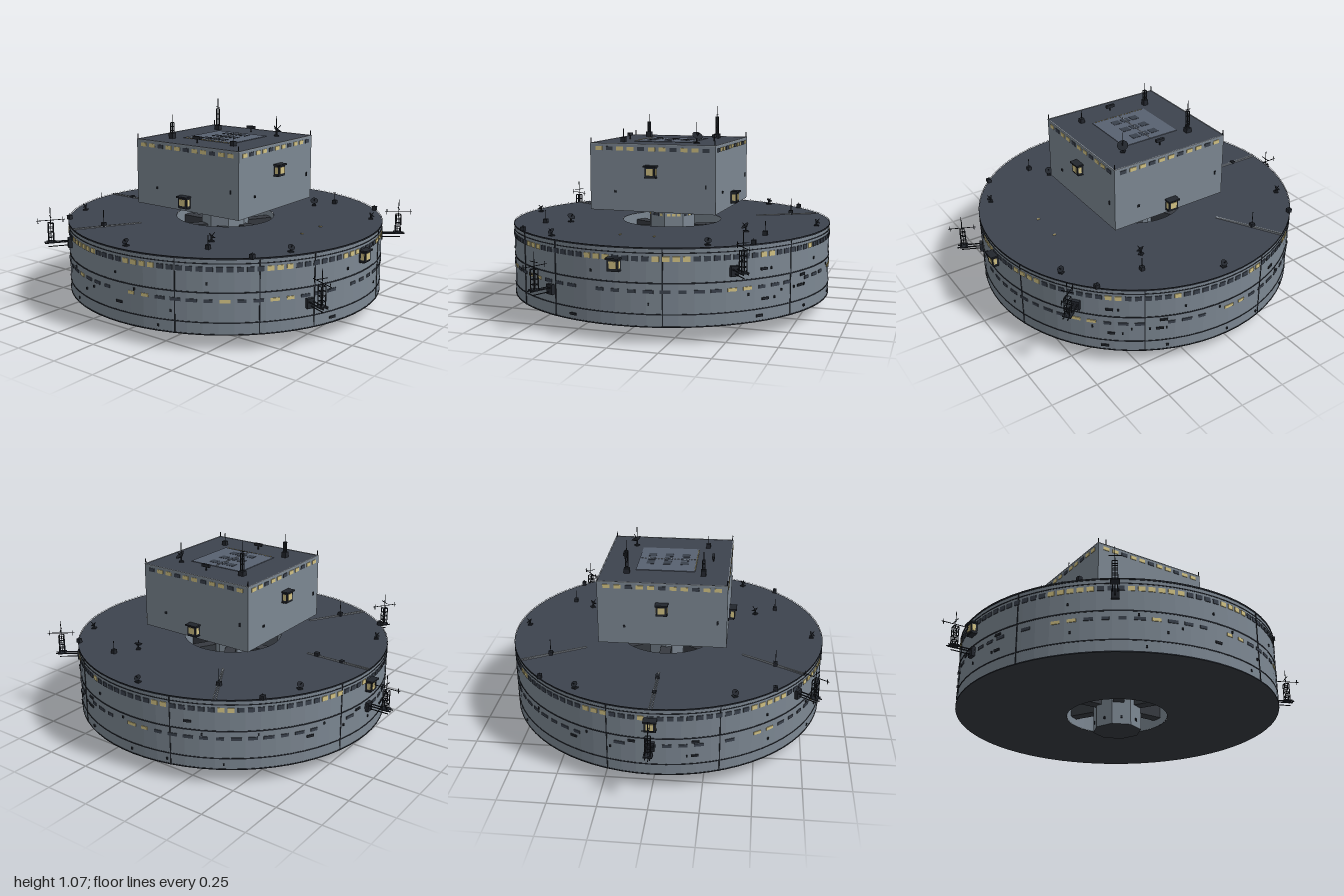
import * as THREE from 'three';
import { mergeGeometries } from 'three/addons/utils/BufferGeometryUtils.js';

const mat = (name, color, extra = {}) => {
  const m = new THREE.MeshStandardMaterial({ color, flatShading: true, ...extra });
  m.name = name;
  return m;
};

export function createModel() {
  const wall = mat('wallGrey', 0x7c8792);
  const roof = mat('roofSlate', 0x3d434e);
  const under = mat('undersideCharcoal', 0x363a40);
  const panel = mat('panelGrey', 0x586170);
  const dark = mat('fittingDark', 0x22262d);
  const glass = mat('darkGlass', 0x3a414c);
  const lit = mat('litWindow', 0xd2c284);
  const trim = mat('paleTrim', 0x98a0a8);

  const root = new THREE.Group();
  root.name = 'station';
  root.position.set(0.04, 0, -0.005);

  const R = 0.86, HOLE = 0.27, LOW = 0.08, TOP = 0.455, ROOF = 0.89, S = 0.34;
  let seed = 7;
  const rand = () => (seed = (seed * 16807) % 2147483647) / 2147483647;

  // Helpers: placed boxes, boxes around the axis, rods, merged meshes
  const box = (w, h, d, x, y, z) => new THREE.BoxGeometry(w, h, d).translate(x, y, z);
  const polar = (r, a, y, w, h, d) => box(d, h, w, r, y, 0).rotateY(-a);
  const rod = (r, h, x, y, z) => new THREE.CylinderGeometry(r, r, h, 5).translate(x, y + h / 2, z);
  const add = (name, material, geos, parent = root) => {
    const list = [].concat(geos);
    const mesh = new THREE.Mesh(list.length > 1 ? mergeGeometries(list) : list[0], material);
    mesh.name = name;
    parent.add(mesh);
    return mesh;
  };
  const lathe = (pts, n = 72) => new THREE.LatheGeometry(pts.map(p => new THREE.Vector2(...p)), n);
  const rad = THREE.MathUtils.degToRad;

  // Large ring hull with an open middle
  add('ringOuterWall', wall, lathe([[R, LOW], [R, TOP]]));
  add('ringRoof', roof, lathe([[R, TOP], [HOLE, TOP]]));
  add('ringUnderside', under, lathe([[HOLE, LOW], [R, LOW]]));
  add('ringInnerWall', wall, lathe([[HOLE, TOP], [HOLE, LOW]], 36));
  const band = (y, h, o) => lathe([[R, y - h / 2], [R + o, y - h / 2], [R + o, y + h / 2], [R, y + h / 2]]);
  add('ringBands', dark, [band(0.142, 0.006, 0.002), band(0.29, 0.007, 0.002),
    band(0.432, 0.005, 0.002), band(TOP, 0.008, 0.003), band(LOW + 0.003, 0.006, 0.002)]);
  add('ringSeams', dark, [23, 42, 69, 157, 195, 255, 300, 345].map((a, i) =>
    polar(R, rad(a), (LOW + TOP) / 2, 0.005, TOP - LOW, 0.005)));

  // Hub, spokes and hub windows
  add('hub', [wall, roof, under], new THREE.CylinderGeometry(0.13, 0.13, 0.54, 8).translate(0, 0.27, 0));
  const spokes = [];
  for (let i = 0; i < 6; i++) spokes.push(polar(0.2, i * Math.PI / 3, 0.27, 0.06, 0.3, 0.17));
  add('spokes', under, spokes);

  // Rows of windows, lit in short runs
  const windows = { lit: [], dark: [] };
  let on = true;
  const pick = g => {
    if (rand() < 0.45) on = rand() < 0.45;
    (on ? windows.lit : windows.dark).push(g);
  };
  for (let i = 0; i < 112; i++) pick(polar(R, i / 112 * Math.PI * 2, 0.405, 0.033, 0.024, 0.006));
  for (let i = 0; i < 68; i++) {
    if (rand() < 0.88) pick(polar(R, i / 68 * Math.PI * 2, 0.25, 0.035 + rand() * 0.02, 0.016, 0.006));
  }
  for (let s = 0; s < 4; s++) for (let i = -5; i <= 5; i++) {
    const g = box(0.037, 0.02, 0.006, i * 0.058, 0.865, S).rotateY(s * Math.PI / 2);
    ((i + s) % 3 ? windows.lit : windows.dark).push(g);
  }
  for (let s = 0; s < 8; s++) for (const y of [0.492, 0.515]) for (const o of [-0.027, 0, 0.027]) {
    pick(box(0.006, 0.014, 0.018, 0.1205, y, o).rotateY((s + 0.5) * Math.PI / 4));
  }
  add('litWindows', lit, windows.lit);
  add('darkWindows', glass, windows.dark);

  // Small hatches scattered over the walls
  const hatches = [];
  for (let i = 0; i < 46; i++) {
    const y = [0.19, 0.335, 0.22, 0.11, 0.27][i % 5];
    hatches.push(polar(R, rand() * Math.PI * 2, y, 0.008 + (i % 4 === 0 ? 0.03 : 0), 0.012, 0.01));
  }
  for (let s = 0; s < 4; s++) {
    hatches.push(box(0.012, 0.012, 0.01, -0.2, 0.64, S).rotateY(s * Math.PI / 2));
    hatches.push(box(0.008, 0.02, 0.01, 0.29, 0.68, S).rotateY(s * Math.PI / 2));
  }
  for (let s = 0; s < 8; s++) hatches.push(box(0.01, 0.014, 0.012, 0.12, 0.04, 0).rotateY((s + 0.5) * Math.PI / 4));
  add('wallHatches', dark, hatches);

  // Square upper block with roof panel and skylights
  add('upperBlock', [wall, wall, roof, under, wall, wall], box(2 * S, 0.35, 2 * S, 0, 0.715, 0));
  const edges = [], posts = [];
  for (let s = 0; s < 4; s++) {
    edges.push(box(2 * S, 0.004, 0.005, 0, ROOF, S - 0.001).rotateY(s * Math.PI / 2));
    posts.push(rod(0.003, 0.028, S - 0.004, ROOF, S - 0.004).rotateY(s * Math.PI / 2));
  }
  add('roofEdging', trim, edges);
  add('cornerPosts', dark, posts);
  add('roofPanel', panel, box(0.33, 0.006, 0.315, 0, ROOF, 0));
  const sky = [], dots = [], lamps = [];
  for (const z of [-0.092, 0, 0.092]) for (const x of [-0.057, 0, 0.057]) sky.push(box(0.045, 0.003, 0.042, x, ROOF + 0.003, z));
  for (let i = 0; i < 17; i++) {
    dots.push(box(0.005, 0.004, 0.009, 0, ROOF + 0.004, -0.144 + i * 0.018));
    lamps.push(box(0.008, 0.004, 0.005, -0.144 + i * 0.018, ROOF + 0.003, 0.156));
  }
  add('skylights', glass, sky);
  add('panelCentreLine', trim, dots);
  add('panelLamps', lit, lamps);

  // Lookout pods: housing, hood, sill and lit window, facing outward along +x
  const pod = (r, y, a) => {
    const g = new THREE.Group();
    g.name = 'lookoutPod';
    add('podHousing', dark, [box(0.035, 0.054, 0.056, r + 0.015, y, 0),
      box(0.044, 0.008, 0.068, r + 0.02, y + 0.029, 0), box(0.03, 0.006, 0.06, r + 0.014, y - 0.029, 0)], g);
    add('podWindow', lit, [box(0.004, 0.034, 0.036, r + 0.033, y, 0), box(0.018, 0.034, 0.06, r + 0.018, y, 0)], g);
    g.rotation.y = a;
    root.add(g);
  };
  pod(S, 0.75, 0);
  pod(S, 0.75, Math.PI);
  pod(S, 0.59, Math.PI / 2);
  pod(S, 0.59, -Math.PI / 2);
  pod(R, 0.375, 0);
  pod(R, 0.375, Math.PI);

  // Lattice mast geometry: four legs, rungs, pole
  const lattice = (x, y, z, w, h, pole) => {
    const out = [rod(0.002, pole, x, y, z)];
    for (const i of [-1, 1]) for (const j of [-1, 1]) out.push(box(0.004, h, 0.004, x + i * w / 2, y + h / 2, z + j * w / 2));
    for (let k = 0; k <= 4; k++) for (const i of [-1, 1]) {
      out.push(box(w, 0.003, 0.003, x, y + h * k / 4, z + i * w / 2));
      out.push(box(0.003, 0.003, w, x + i * w / 2, y + h * k / 4, z));
    }
    return out;
  };

  // Dish: stand, tilted bowl and feed
  const dish = (name, x, y, z, r, turn) => {
    const g = new THREE.Group();
    g.name = name;
    const bowl = new THREE.CylinderGeometry(r, r * 0.45, r * 0.4, 12).translate(0, r * 0.2, 0);
    const head = mergeGeometries([bowl, rod(0.002, r * 0.9, 0, r * 0.4, 0)]);
    add('dishHead', dark, head.rotateZ(-0.7).translate(0, r * 1.1, 0), g);
    add('dishStand', dark, [rod(0.005, r * 1.2, 0, 0, 0), box(0.024, 0.006, 0.024, 0, 0.003, 0)], g);
    g.position.set(x, y, z);
    g.rotation.y = turn;
    root.add(g);
  };

  // Equipment on the block roof
  add('tallRoofMast', dark, [...lattice(-0.205, ROOF, -0.2, 0.013, 0.12, 0.18), box(0.03, 0.025, 0.03, -0.205, ROOF + 0.012, -0.2),
    box(0.03, 0.003, 0.003, -0.205, ROOF + 0.13, -0.2)]);
  add('shortRoofMast', dark, [...lattice(-0.205, ROOF, 0.205, 0.013, 0.085, 0.13), box(0.028, 0.03, 0.028, -0.205, ROOF + 0.015, 0.205)]);
  add('roofVent', dark, [box(0.024, 0.024, 0.024, 0.205, ROOF + 0.012, 0.205), rod(0.002, 0.07, 0.205, ROOF, 0.205)]);
  dish('largeRoofDish', 0.2, ROOF, -0.2, 0.029, 0.8);
  add('roofDishWhip', dark, rod(0.002, 0.11, 0.2, ROOF, -0.2));
  for (const z of [-0.24, 0.245]) {
    add('roofScanner', dark, [rod(0.004, 0.02, 0, ROOF, z), box(0.05, 0.016, 0.014, 0, ROOF + 0.027, z)]);
  }

  // Equipment on the ring roof
  for (let i = 0; i < 6; i++) {
    const a = Math.PI / 6 + i * Math.PI / 3;
    dish('ringDish', 0.8 * Math.cos(a), TOP, 0.8 * Math.sin(a), 0.018, -a);
  }
  for (const s of [-1, 1]) {
    dish('innerDish', 0.28, TOP, s * 0.485, 0.022, s);
    for (const x of [-0.61, -0.35, 0.35, 0.61]) {
      const h = x === -0.35 ? 0.09 : Math.abs(x) > 0.5 ? 0.03 : 0.07;
      add('ringWhip', dark, [rod(0.002, h, x, TOP, s * 0.6), box(0.022, 0.022, 0.022, x, TOP + 0.011, s * 0.6)]);
    }
  }
  add('ringVents', dark, [box(0.025, 0.02, 0.02, -0.55, TOP + 0.01, 0), box(0.02, 0.012, 0.02, -0.7, TOP + 0.006, 0)]);
  add('ringLamps', lit, [-0.09, 0.09].map(z => box(0.014, 0.004, 0.008, 0.56, TOP + 0.002, z)));
  const tracks = [];
  for (const a of [120, 180, 240]) for (const s of [-1, 1]) {
    tracks.push(box(0.37, 0.004, 0.005, 0.675, TOP + 0.002, 0).rotateY(s * 0.012).translate(0, 0, s * 0.003).rotateY(-rad(a)));
  }
  add('roofTracks', trim, tracks);

  // Outrigger antennas around the ring: angle, boom height
  for (const [a, y] of [[180, 0.25], [25, 0.21], [124, 0.37], [-37.5, 0.34]]) {
    const g = new THREE.Group();
    g.name = 'outrigger';
    add('outriggerBoom', dark, [box(0.02, 0.05, 0.04, R + 0.008, y, 0), box(0.14, 0.005, 0.005, 0.93, y + 0.01, 0.012),
      box(0.14, 0.005, 0.005, 0.93, y + 0.01, -0.012), box(0.12, 0.004, 0.004, 0.92, y - 0.012, 0),
      box(0.045, 0.006, 0.045, 0.965, y + 0.013, 0)], g);
    add('outriggerMast', dark, lattice(0.965, y + 0.015, 0, 0.026, 0.1, 0.185), g);
    add('outriggerWhiskers', dark, [box(0.15, 0.003, 0.003, 0.965, y + 0.13, 0), box(0.003, 0.003, 0.06, 0.965, y + 0.15, 0),
      box(0.003, 0.03, 0.003, 1.03, y + 0.13, 0), box(0.003, 0.03, 0.003, 0.9, y + 0.13, 0)], g);
    g.rotation.y = -rad(a);
    root.add(g);
  }

  const model = new THREE.Group();
  model.name = 'model';
  model.add(root);
  return model;
}
